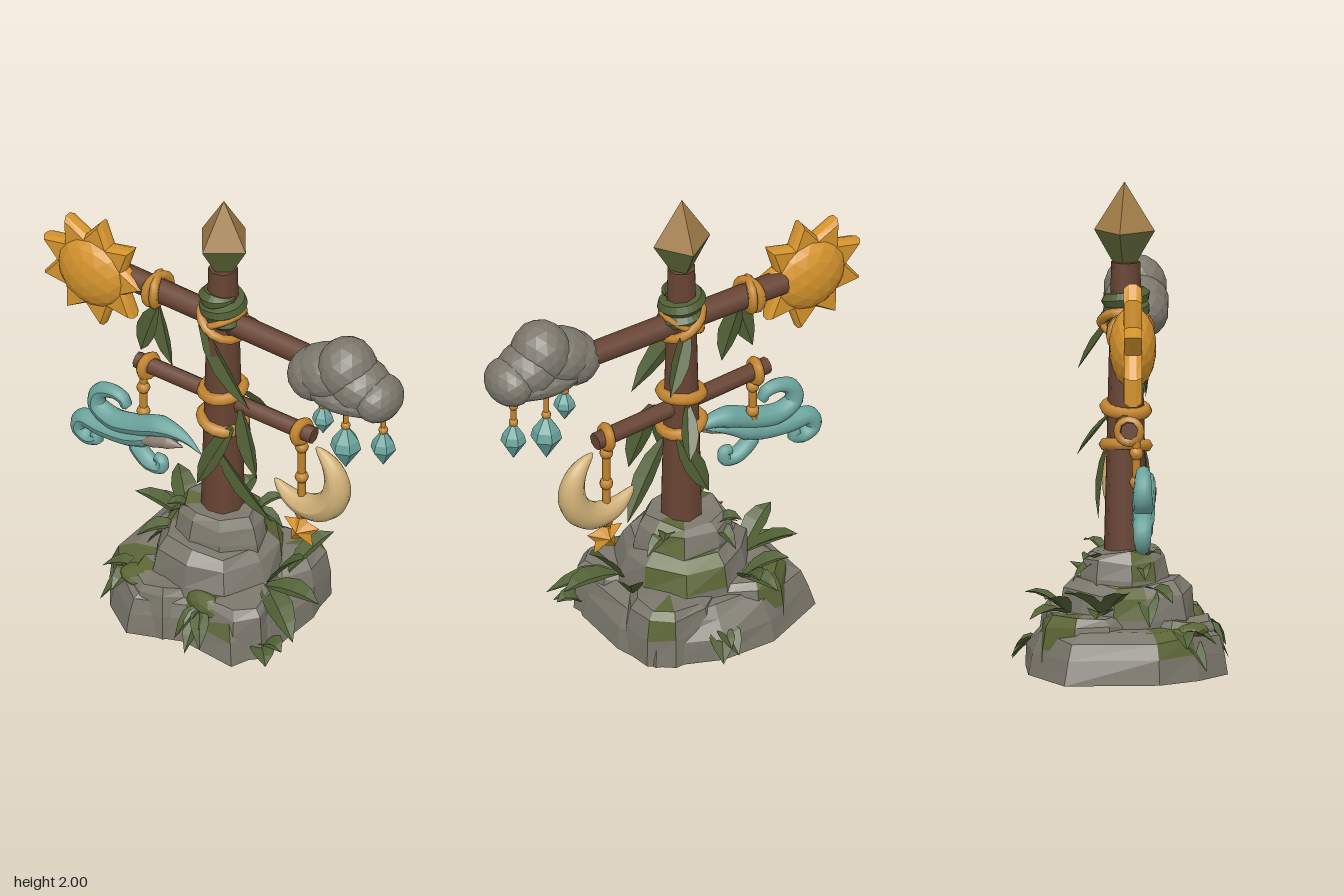
import * as THREE from 'three';

const V = (x, y, z) => new THREE.Vector3(x, y, z);
const mat = (name, color, opt = {}) => {
  const m = new THREE.MeshStandardMaterial({ color, ...opt });
  m.name = name;
  return m;
};

export function createModel() {
  const root = new THREE.Group();
  root.name = 'weatherTotem';
  const flat = { flatShading: true };
  const both = { flatShading: true, side: THREE.DoubleSide };
  const M = {
    stone: mat('stone grey', 0x7c786d, flat), wood: mat('brown wood', 0x684433),
    sun: mat('sun orange', 0xd6942d, flat), rope: mat('rope orange', 0xc4862f),
    bronze: mat('bronze', 0xa17d48, flat), leaf: mat('leaf green', 0x505f35, both),
    moss: mat('moss green', 0x5c6637, both), teal: mat('teal', 0x6ca59e),
    moon: mat('moon cream', 0xd0b077), trim: mat('wind trim', 0x8f8175),
  };
  let seed = 11;
  const rnd = () => (seed = (seed * 16807) % 2147483647) / 2147483647;
  const add = (name, geo, m, pos, parent = root) => {
    const mesh = new THREE.Mesh(geo, m);
    mesh.name = name;
    if (pos) mesh.position.copy(pos);
    parent.add(mesh);
    return mesh;
  };
  const surface = (pos) => {
    const g = new THREE.BufferGeometry();
    g.setAttribute('position', new THREE.Float32BufferAttribute(pos, 3));
    g.computeVertexNormals();
    return g;
  };
  // straight tapered rod between two points
  const rod = (name, a, b, ra, rb, m, sides = 8) => {
    const d = b.clone().sub(a);
    const o = add(name, new THREE.CylinderGeometry(rb, ra, d.length(), sides), m, a.clone().add(b).multiplyScalar(0.5));
    o.quaternion.setFromUnitVectors(V(0, 1, 0), d.normalize());
  };
  // tube whose radius follows a rule along its path
  const sweep = (name, pts, radius, m, n = 40, sides = 10) => {
    const curve = new THREE.CatmullRomCurve3(pts);
    const g = new THREE.TubeGeometry(curve, n, 1, sides);
    const p = g.attributes.position;
    for (let i = 0, k = 0; i <= n; i++) {
      const c = curve.getPointAt(i / n), r = radius(i / n);
      for (let j = 0; j <= sides; j++, k++) {
        const v = V().fromBufferAttribute(p, k).sub(c).multiplyScalar(r).add(c);
        p.setXYZ(k, v.x, v.y, v.z);
      }
    }
    g.computeVertexNormals();
    return add(name, g, m);
  };
  const loop = (name, pos, r, tube, rx, ry, m) =>
    add(name, new THREE.TorusGeometry(r, tube, 6, 16), m, pos).rotation.set(rx, ry, 0);

  // folded leaf arching from base a to tip b
  const leaf = (a, b, w, face, lift) => {
    const mid = a.clone().add(b).multiplyScalar(0.5).addScaledVector(face, lift);
    const curve = new THREE.QuadraticBezierCurve3(a, mid, b);
    const pos = [];
    const rows = [0.3, 0.85, 1, 0.7, 0].map((f, i) => {
      const c = curve.getPoint(i / 4), t = curve.getTangent(i / 4);
      const s = t.clone().cross(face).normalize(), n = s.clone().cross(t);
      const h = w * 0.5 * f;
      return [c.clone().addScaledVector(s, -h), c.clone().addScaledVector(n, -h * 0.4), c.clone().addScaledVector(s, h)];
    });
    for (let i = 0; i < 4; i++) for (let j = 0; j < 2; j++) {
      const [p, q, r, s] = [rows[i][j], rows[i][j + 1], rows[i + 1][j + 1], rows[i + 1][j]];
      for (const v of [p, q, r, p, r, s]) pos.push(v.x, v.y, v.z);
    }
    add('leaf', surface(pos), M.leaf);
  };

  // rock with a rounded shoulder; listed segments of its shoulder and top are mossy
  const rock = (outline, y0, y1, moss) => {
    const n = outline.length, h = y1 - y0;
    const cx = outline.reduce((s, p) => s + p[0], 0) / n, cz = outline.reduce((s, p) => s + p[1], 0) / n;
    const rings = [[0, 1], [0.5, 0.97], [0.85, 0.89], [1, 0.74]].map(([f, k], r) => outline.map(([x, z]) => {
      const j = r ? k + (rnd() - 0.5) * 0.06 : k;
      return [cx + (x - cx) * j, y0 + h * f + (r ? (rnd() - 0.5) * 0.025 : 0), cz + (z - cz) * j];
    }));
    const stone = [], green = [];
    for (let i = 0; i < n; i++) {
      const k = (i + 1) % n, upper = moss.includes(i) ? green : stone;
      for (let r = 0; r < 3; r++) {
        const [A, B, C, D] = [rings[r][i], rings[r][k], rings[r + 1][i], rings[r + 1][k]];
        (r > 0 ? upper : stone).push(...B, ...A, ...C, ...B, ...C, ...D);
      }
      upper.push(cx, y1, cz, ...rings[3][k], ...rings[3][i]);
      stone.push(cx, y0, cz, ...rings[0][i], ...rings[0][k]);
    }
    add('rock', surface(stone), M.stone);
    add('rockMoss', surface(green), M.moss);
  };
  const round = (cx, cz, rx, rz, n) => Array.from({ length: n }, (_, i) => {
    const a = (i + 0.3 * rnd()) / n * Math.PI * 2, k = 0.94 + 0.14 * rnd();
    return [cx + Math.cos(a) * rx * k, cz + Math.sin(a) * rz * k];
  });

  // stepped rock base with boulders
  rock([[-0.54, -0.16], [-0.28, -0.35], [-0.04, -0.4], [0.24, -0.35], [0.33, -0.16], [0.37, 0.12],
    [0.33, 0.32], [0.07, 0.33], [-0.14, 0.45], [-0.32, 0.36], [-0.46, 0.22]], 0, 0.2, [6, 9]);
  rock(round(0.19, 0.15, 0.18, 0.17, 8), 0, 0.23, [2]);
  rock(round(-0.11, 0.25, 0.18, 0.16, 8), 0, 0.22, [3]);
  rock(round(0.12, -0.2, 0.2, 0.18, 8), 0, 0.24, [6]);
  rock(round(-0.25, -0.12, 0.19, 0.2, 8), 0, 0.25, [4, 5]);
  rock(round(-0.03, 0.025, 0.28, 0.28, 10), 0.1, 0.37, [4, 7, 8]);
  rock(round(-0.03, 0.01, 0.21, 0.19, 9), 0.28, 0.49, [3, 7]);
  // moss hanging over the ledges
  const mossPad = (x, y, z, sx, sy, sz) => add('mossPad', new THREE.IcosahedronGeometry(1, 1), M.moss, V(x, y, z)).scale.set(sx, sy, sz);
  mossPad(0.13, 0.18, 0.265, 0.1, 0.06, 0.045);
  mossPad(-0.2, 0.19, 0.31, 0.09, 0.03, 0.07);

  // pole and pointed finial
  rod('pole', V(-0.02, 0.4, 0.01), V(-0.02, 1.67, 0.01), 0.092, 0.06, M.wood);
  add('finialTip', new THREE.ConeGeometry(0.125, 0.2, 4), M.bronze, V(-0.02, 1.9, 0.005));
  add('finialCup', new THREE.CylinderGeometry(0.125, 0.05, 0.13, 4), M.moss, V(-0.02, 1.735, 0.005));

  // crossbeams
  rod('upperBeam', V(-0.5, 1.43, 0.09), V(0.45, 1.395, -0.07), 0.052, 0.05, M.wood);
  rod('lowerBeam', V(-0.43, 1.04, 0.09), V(0.4, 0.985, -0.09), 0.036, 0.037, M.wood);

  // rope lashings
  const quarter = Math.PI / 2;
  loop('poleRope', V(-0.02, 1.065, 0.01), 0.083, 0.026, quarter + 0.12, 0.1, M.rope);
  loop('poleRope', V(-0.02, 0.915, 0.01), 0.086, 0.026, quarter, -0.2, M.rope);
  loop('crossRope', V(-0.02, 1.415, 0.01), 0.1, 0.021, quarter, -0.6, M.rope);
  loop('crossRope', V(-0.02, 1.42, 0.01), 0.092, 0.015, quarter, 0.5, M.rope);
  for (const turn of [-0.15, 0.5]) loop('beamRope', V(-0.34, 1.425, 0.062), 0.066, 0.02, 0, quarter + turn, M.rope);

  // hanging cords with knots
  const cord = (x, z, top, bottom, knots, r = 0.017) => {
    rod('cord', V(x, bottom, z), V(x, top, z), r, r, M.rope, 6);
    for (const y of knots) add('knot', new THREE.SphereGeometry(r * 1.7, 8, 6), M.rope, V(x, y, z));
  };
  loop('cordLoop', V(-0.375, 1.03, 0.08), 0.042, 0.022, 0, quarter, M.rope);
  loop('cordLoop', V(0.345, 0.985, -0.075), 0.042, 0.022, 0, quarter, M.rope);
  cord(-0.375, 0.11, 1.0, 0.78, [0.94, 0.82]);
  cord(0.345, -0.075, 0.96, 0.54, [0.91, 0.76, 0.58]);

  // raindrops under the cloud
  const raindrop = (x, z, w, top, h) => {
    cord(x, z, 1.33, top - 0.02, [top + 0.01, 1.27], 0.012);
    const profile = [[0, -h], [w, -h * 0.5], [w * 0.85, -h * 0.3], [0.012, 0]].map(p => new THREE.Vector2(...p));
    const g = new THREE.LatheGeometry(profile, 6).toNonIndexed();
    g.computeVertexNormals();
    add('raindrop', g, M.teal, V(x, top, z));
  };
  raindrop(0.51, -0.03, 0.046, 1.22, 0.135);
  raindrop(0.605, -0.065, 0.065, 1.145, 0.2);
  raindrop(0.77, -0.115, 0.053, 1.18, 0.165);

  // cloud
  const cloud = new THREE.Group();
  cloud.name = 'cloud';
  cloud.position.set(0.61, 1.4, -0.05);
  cloud.rotation.y = 0.2;
  root.add(cloud);
  const puff = (x, y, rx, ry, rz) =>
    add('cloudPuff', new THREE.IcosahedronGeometry(1, 2), M.stone, V(x, y, 0), cloud).scale.set(rx, ry, rz);
  puff(-0.13, -0.02, 0.12, 0.115, 0.13);
  puff(-0.06, 0.01, 0.16, 0.12, 0.135);
  puff(0.015, 0.055, 0.125, 0.14, 0.13);
  puff(0.08, 0, 0.13, 0.115, 0.13);
  puff(0.02, -0.05, 0.22, 0.08, 0.135);
  puff(0.17, -0.03, 0.095, 0.1, 0.12);

  // sun with nine rays and a domed face on both sides
  const starPoints = (n, ro, ri, a0) => Array.from({ length: 2 * n }, (_, i) => {
    const a = a0 + i * Math.PI / n, r = i % 2 ? ri : ro;
    return new THREE.Vector2(Math.cos(a) * r, Math.sin(a) * r);
  });
  const sun = new THREE.Group();
  sun.name = 'sun';
  sun.position.set(-0.625, 1.42, 0.135);
  sun.rotation.y = 0.165;
  root.add(sun);
  add('sunRays', new THREE.ExtrudeGeometry(new THREE.Shape(starPoints(9, 0.24, 0.155, 1.43)),
    { depth: 0.03, bevelThickness: 0.022, bevelSize: 0.012, bevelSegments: 1 }), M.sun, V(0, 0, -0.015), sun);
  add('sunFace', new THREE.IcosahedronGeometry(1, 2), M.sun, null, sun).scale.set(0.17, 0.17, 0.097);

  // small puffed star
  const sp = starPoints(5, 0.09, 0.05, quarter), starPos = [];
  sp.forEach((p, i) => {
    const q = sp[(i + 1) % 10];
    starPos.push(0, 0, 0.045, p.x, p.y, 0, q.x, q.y, 0, 0, 0, -0.045, q.x, q.y, 0, p.x, p.y, 0);
  });
  add('star', surface(starPos), M.sun, V(0.35, 0.505, -0.07)).rotation.y = 0.2;

  // crescent moon, thickest at the lower right
  const moonR = t => 0.004 + 0.058 * Math.pow(Math.max(0, Math.sin(Math.PI * t)), 0.7);
  const arc = Array.from({ length: 17 }, (_, i) => {
    const a = 1.42 - i / 16 * 4.25, r = 0.185 - moonR(i / 16);
    return V(Math.cos(a) * r, Math.sin(a) * r, 0);
  });
  const moon = sweep('moon', arc, moonR, M.moon, 32, 12);
  moon.position.set(0.385, 0.755, -0.085);
  moon.rotation.y = 0.2;

  // curling wind
  const wind = (name, pts, r0, m, endR) => sweep(name, pts.map(([x, y]) => V(x, y, 0.088 - 0.14 * x)),
    t => t > 0.985 ? 0.001 : r0 * Math.min(1, 0.05 + t * 3.5) * (1 - (1 - endR) * Math.max(0, t - 0.55) / 0.45), m, 48);
  wind('upperWind', [[-0.06, 0.755], [-0.14, 0.8], [-0.25, 0.81], [-0.38, 0.765], [-0.5, 0.745], [-0.58, 0.785],
    [-0.565, 0.855], [-0.49, 0.88], [-0.435, 0.855], [-0.46, 0.83]], 0.047, M.teal, 0.5);
  wind('lowerWind', [[-0.17, 0.775], [-0.3, 0.74], [-0.42, 0.695], [-0.55, 0.685], [-0.65, 0.685], [-0.67, 0.63],
    [-0.62, 0.597], [-0.575, 0.62], [-0.605, 0.645]], 0.046, M.teal, 0.55);
  wind('windCurl', [[-0.42, 0.73], [-0.37, 0.65], [-0.31, 0.605], [-0.26, 0.605], [-0.255, 0.64], [-0.29, 0.645]], 0.037, M.teal, 0.55);
  wind('windTrim', [[-0.13, 0.77], [-0.22, 0.76], [-0.3, 0.73], [-0.39, 0.705]], 0.028, M.trim, 0.3).position.z = 0.022;

  // vine wound around the pole
  const helix = Array.from({ length: 25 }, (_, i) => {
    const a = i / 24 * 4.6 * Math.PI;
    return V(-0.02 + Math.cos(a) * 0.068, 1.55 - 0.13 * i / 24, 0.01 + Math.sin(a) * 0.068);
  });
  sweep('vine', helix, t => 0.033 * Math.min(1, 0.2 + 8 * t, 0.2 + 8 * (1 - t)), M.leaf, 60, 6);

  // leaves hanging from the beam and the pole
  const front = V(0, 0, 1), back = V(0, 0, -1), up = V(0, 1, 0);
  leaf(V(-0.3, 1.38, 0.11), V(-0.38, 1.13, 0.12), 0.1, front, 0.04);
  leaf(V(-0.31, 1.37, 0.09), V(-0.23, 1.11, 0.09), 0.1, front, 0.04);
  leaf(V(-0.09, 1.38, 0.07), V(0.18, 1.08, 0.06), 0.11, front, 0.05);
  leaf(V(0.1, 1.02, 0.03), V(0.2, 0.73, 0.04), 0.11, front, 0.03);
  leaf(V(0.08, 0.94, 0.06), V(-0.08, 0.6, 0.1), 0.09, front, 0.05);
  leaf(V(0.03, 0.8, 0.08), V(0.23, 0.5, -0.02), 0.1, front, 0.05);
  leaf(V(-0.02, 1.42, -0.06), V(0.12, 1.2, -0.21), 0.09, back, 0.03);
  leaf(V(-0.02, 1.04, -0.06), V(0.03, 0.86, -0.2), 0.08, back, 0.03);
  leaf(V(0.03, 0.9, -0.08), V(-0.1, 0.62, -0.09), 0.09, back, 0.04);

  // fans of leaves growing out from the rock
  const tuft = (x, y, z, angle, reach, rise, count, w = 0.105) => {
    for (let i = 0; i < count; i++) {
      const a = angle + (i - (count - 1) / 2) * 0.6, r = reach * (0.9 + 0.2 * rnd());
      leaf(V(x, y, z), V(x + Math.cos(a) * r, Math.max(0.02, y + rise - (i % 2) * 0.1), z + Math.sin(a) * r), w, up, 0.08);
    }
  };
  tuft(-0.26, 0.25, -0.04, Math.PI, 0.22, 0.12, 3);
  tuft(-0.2, 0.25, -0.2, -2.2, 0.19, 0.08, 3);
  tuft(-0.05, 0.12, -0.34, -quarter, 0.12, -0.08, 2);
  tuft(0.25, 0.23, 0.04, 0.1, 0.27, 0.0, 2, 0.12);
  tuft(0.24, 0.23, 0.01, -0.25, 0.17, 0.17, 1);
  tuft(0.24, 0.22, -0.1, -1.1, 0.2, 0.15, 1);
  tuft(0.34, 0.04, 0.16, 0.35, 0.13, 0.02, 2);
  tuft(0.13, 0.18, 0.3, 1.4, 0.11, -0.12, 3, 0.08);
  tuft(-0.25, 0.18, 0.27, 2.2, 0.16, -0.04, 3, 0.09);
  tuft(-0.1, 0.44, 0.08, 2.5, 0.13, 0.05, 2, 0.07);
  tuft(0.07, 0.44, -0.08, -0.7, 0.13, 0.05, 2, 0.07);
  tuft(-0.12, 0.44, -0.08, -2.4, 0.13, 0.03, 2, 0.08);
  tuft(-0.17, 0.35, 0.12, 2.6, 0.16, -0.04, 2, 0.09);

  return root;
}
